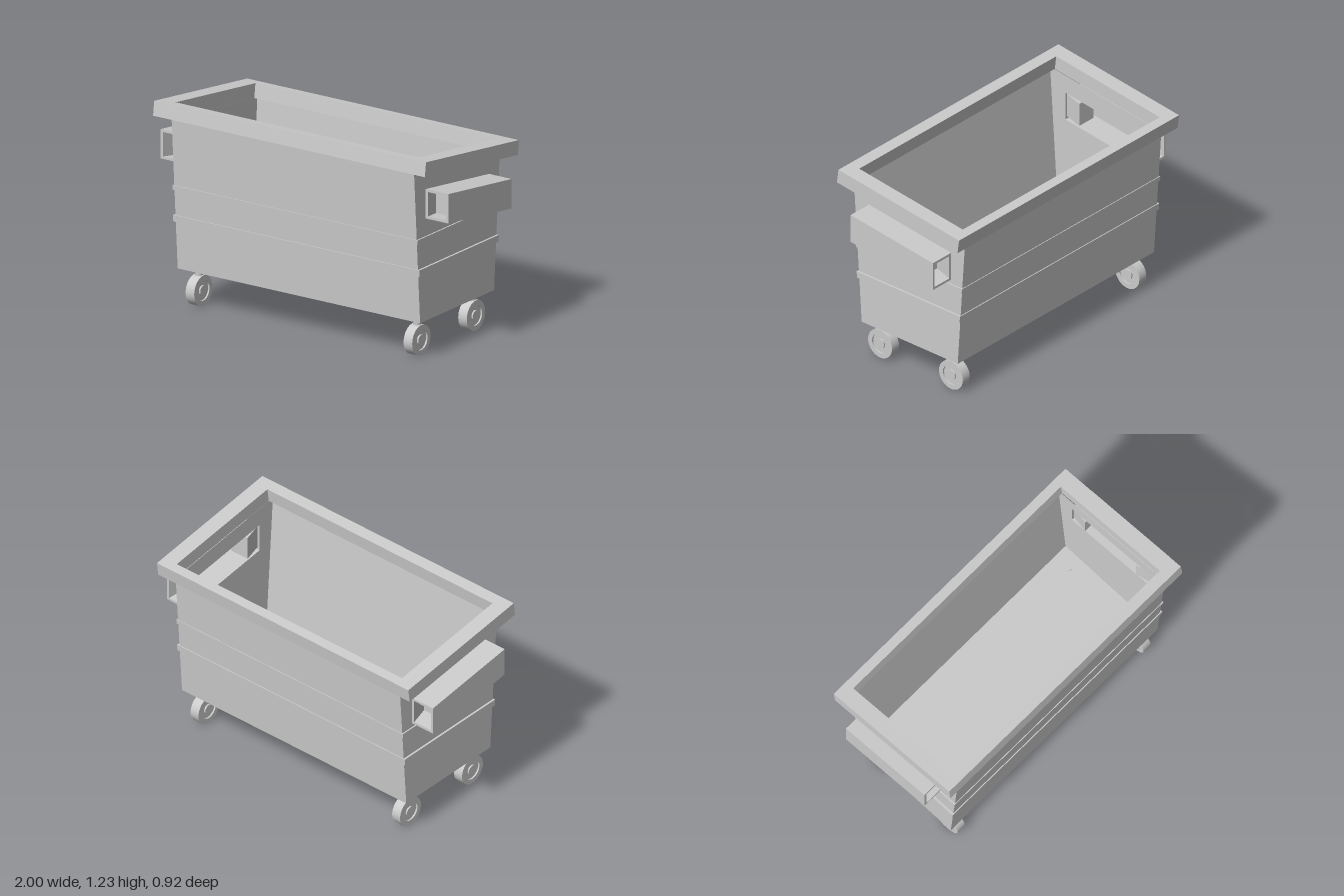
import * as THREE from 'three';
import { toCreasedNormals } from 'three/addons/utils/BufferGeometryUtils.js';

const SLOPE = 0.128; // fall of the rim and pockets from front to back
const W = 0.843; // half width of the body
const BASE = 0.225;
const material = new THREE.MeshStandardMaterial({ color: 0xcccccc, side: THREE.DoubleSide });

function mesh(name, geometry) {
  const m = new THREE.Mesh(geometry, material);
  m.name = name;
  return m;
}

// Flat-shaded surface from four-cornered faces
function quads(name, faces) {
  const points = [];
  for (const [a, b, c, d] of faces) points.push(...a, ...b, ...c, ...a, ...c, ...d);
  const g = new THREE.BufferGeometry();
  g.setAttribute('position', new THREE.Float32BufferAttribute(points, 3));
  g.computeVertexNormals();
  return mesh(name, g);
}

// Faces joining a series of closed loops
function loft(loops) {
  const faces = [];
  for (let i = 0; i < loops.length - 1; i++) {
    const a = loops[i], b = loops[i + 1];
    a.forEach((p, j) => {
      const k = (j + 1) % a.length;
      faces.push([p, a[k], b[k], b[j]]);
    });
  }
  return faces;
}

const frontZ = y => 0.365 + 0.065 * (y - BASE);
const backZ = y => -0.36 - 0.068 * (y - BASE);
const TOP_F = 1.14, TOP_B = 1.033;

// Tapered open body; each end wall is cut away behind its pocket
function body() {
  const g = new THREE.Group();
  g.name = 'body';
  const edge = (y, z) => [[-W, y, z], [W, y, z]];
  const [a, b] = edge(BASE, frontZ(BASE)), [c, d] = edge(TOP_F, frontZ(TOP_F));
  const [e, f] = edge(BASE, backZ(BASE)), [h, i] = edge(TOP_B, backZ(TOP_B));
  g.add(quads('frontWall', [[a, b, d, c]]));
  g.add(quads('backWall', [[f, e, h, i]]));
  g.add(quads('floor', [[e, f, b, a]]));
  const wall = new THREE.Shape([[a, 0], [c, 0], [h, 0], [e, 0]].map(([p]) => new THREE.Vector2(p[2], p[1])));
  wall.holes.push(new THREE.Path(pocketOutline(0.31).map(([z, y]) => new THREE.Vector2(z, y))));
  for (const s of [-1, 1]) {
    const geo = new THREE.ShapeGeometry(wall).rotateY(-Math.PI / 2).translate(s * W, 0, 0);
    if (s > 0) { // turn this wall to face outward
      const ix = geo.index.array;
      for (let n = 0; n < ix.length; n += 3) [ix[n], ix[n + 1]] = [ix[n + 1], ix[n]];
      geo.computeVertexNormals();
    }
    g.add(mesh('endWall', geo));
  }
  return g;
}

// Side outline of a fork pocket as [z, y]
function pocketOutline(z) {
  const low = 0.7975, high = 0.9735;
  return [[z, low + SLOPE * z], [z, high + SLOPE * z], [-z, high - SLOPE * z], [-z, low - SLOPE * z]];
}

// Sloping fork pocket with a tapered blind recess in each end
function forkPocket(s) {
  const section = (z, x0, x1, inset) => {
    const lo = 0.7975 + SLOPE * z + inset, hi = 0.9735 + SLOPE * z - inset;
    return [[s * x0, lo, z], [s * x1, lo, z], [s * x1, hi, z], [s * x0, hi, z]];
  };
  const front = section(0.31, W, 1, 0), back = section(-0.31, W, 1, 0);
  const faces = [0, 1, 2].map(j => [front[j], front[j + 1], back[j + 1], back[j]]);
  for (const e of [1, -1]) {
    const floor = section(e * 0.2, 0.838, 0.96, 0.016);
    faces.push(...loft([e > 0 ? front : back, section(e * 0.31, 0.859, 0.984, 0.015), floor]), floor);
  }
  return quads(s > 0 ? 'leftForkPocket' : 'rightForkPocket', faces);
}

// Thin reinforcing band round the body
function band(y0, y1, outX, outZ) {
  const ring = (y, dx, dz) => {
    const x = W + dx, f = frontZ(y) + dz, b = backZ(y) - dz;
    return [[-x, y, f], [x, y, f], [x, y, b], [-x, y, b]];
  };
  return quads('reinforcingBand', loft([ring(y0, 0, 0), ring(y0, outX, outZ), ring(y1, outX, outZ), ring(y1, 0, 0)]));
}

// Tilted rectangular frame round the opening
function rim() {
  const rect = (Type, x, z0, z1) => new Type([[-x, z0], [x, z0], [x, z1], [-x, z1]].map(p => new THREE.Vector2(...p)));
  const shape = rect(THREE.Shape, 0.945, -0.459, 0.459);
  shape.holes.push(rect(THREE.Path, 0.846, -0.388, 0.4));
  const m = mesh('rim', new THREE.ExtrudeGeometry(shape, { depth: 0.087, bevelEnabled: false }));
  m.geometry.rotateX(-Math.PI / 2).rotateX(Math.atan(-SLOPE));
  m.position.set(0, 1.087, 0.007);
  return m;
}

// Wheel with a recessed ring round its hub, on a short stem
function caster(x, z) {
  const g = new THREE.Group();
  g.name = 'caster';
  const half = [[0, 0.03], [0.03, 0.03], [0.03, 0.02], [0.06, 0.02], [0.06, 0.03], [0.09, 0.03]];
  const profile = [...half.map(([r, h]) => [r, -h]), ...half.reverse()].map(p => new THREE.Vector2(...p));
  const wheel = mesh('wheel', toCreasedNormals(new THREE.LatheGeometry(profile, 40).rotateZ(Math.PI / 2), 0.6));
  wheel.position.y = 0.09;
  const stem = mesh('stem', new THREE.CylinderGeometry(0.022, 0.022, 0.07, 20));
  stem.position.y = 0.195;
  g.add(wheel, stem);
  g.position.set(x, 0, z);
  return g;
}

export function createModel() {
  const model = new THREE.Group();
  model.name = 'wheeledContainer';
  model.add(body(), rim(), band(0.51, 0.55, 0.013, 0.006), band(0.705, 0.732, 0.009, 0.005));
  for (const s of [-1, 1]) {
    model.add(forkPocket(s));
    for (const z of [0.275, -0.26]) model.add(caster(s * 0.758, z));
  }
  return model;
}
